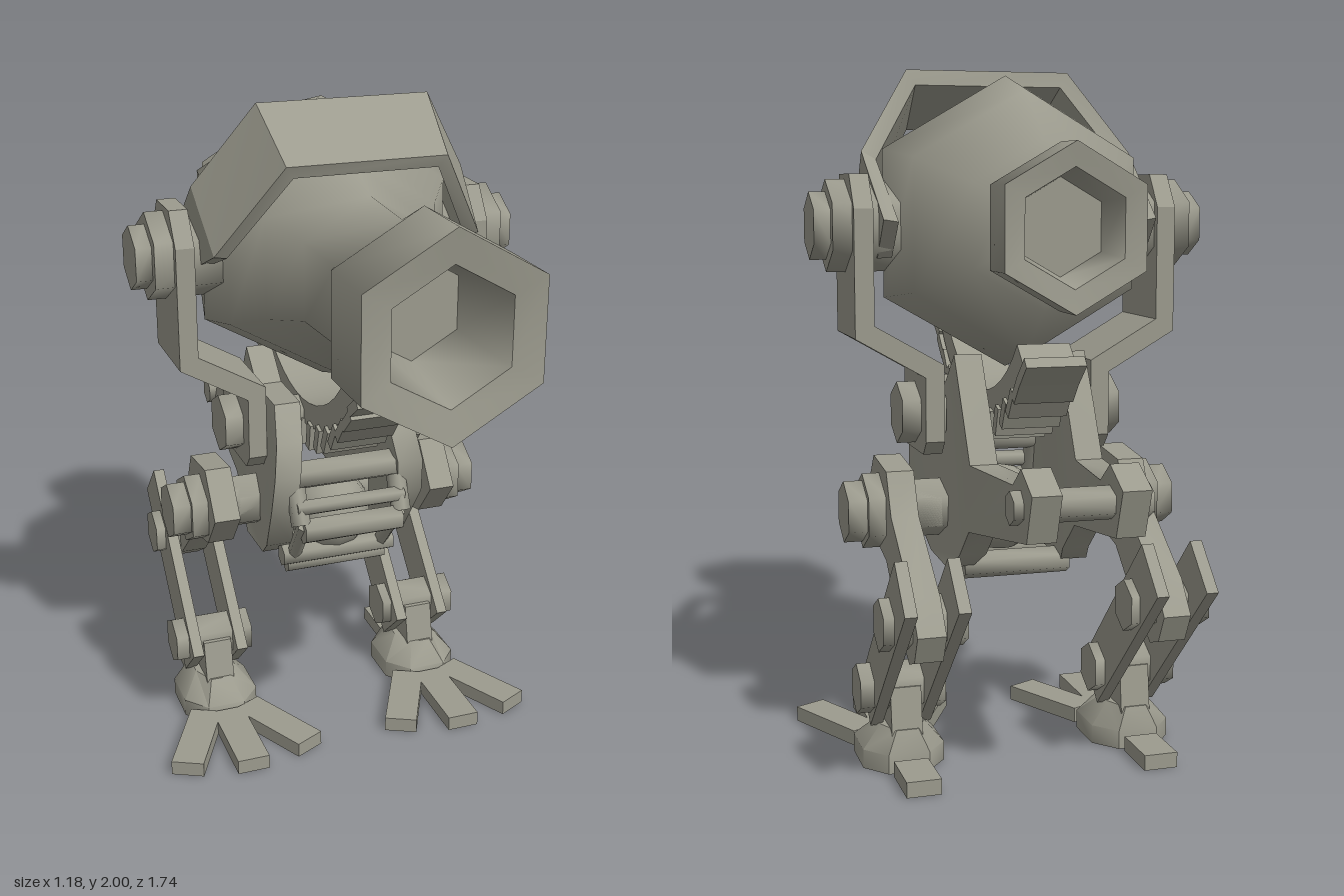
import * as THREE from 'three';
import { toCreasedNormals } from 'three/addons/utils/BufferGeometryUtils.js';

const metal = new THREE.MeshStandardMaterial({ color: 0x9c9b8e });
metal.name = 'grey metal';

// Swap the first and last corner of every triangle
function flip(geo) {
  for (const attr of Object.values(geo.attributes)) {
    const n = attr.itemSize, a = attr.array;
    for (let t = 0; t < a.length; t += 3 * n)
      for (let k = 0; k < n; k++) [a[t + k], a[t + 2 * n + k]] = [a[t + 2 * n + k], a[t + k]];
  }
  return geo;
}

// Solid skinned over a list of equal-sized rings of [x, y, z] points
function loft(rings) {
  const pos = [], n = rings[0].length;
  const tri = (a, b, c) => pos.push(...a, ...b, ...c);
  for (let i = 0; i < rings.length - 1; i++)
    for (let j = 0; j < n; j++) {
      const k = (j + 1) % n, p = rings[i], q = rings[i + 1];
      tri(p[j], p[k], q[k]);
      tri(p[j], q[k], q[j]);
    }
  const first = rings[0], last = rings[rings.length - 1];
  for (let j = 1; j < n - 1; j++) {
    tri(first[0], first[j + 1], first[j]);
    tri(last[0], last[j], last[j + 1]);
  }
  let volume = 0;
  for (let i = 0; i < pos.length; i += 9) {
    const v = [0, 3, 6].map(o => new THREE.Vector3().fromArray(pos, i + o));
    volume += v[0].dot(v[1].cross(v[2]));
  }
  const geo = new THREE.BufferGeometry();
  geo.setAttribute('position', new THREE.Float32BufferAttribute(pos, 3));
  return volume < 0 ? flip(geo) : geo;
}

// Six-sided pin along x, with a point upwards
function pin(x0, x1, y, z, r, sides = 6) {
  return new THREE.CylinderGeometry(r, r, x1 - x0, sides)
    .rotateY(Math.PI / 2).rotateZ(Math.PI / 2).translate((x0 + x1) / 2, y, z);
}

// Six-sided rod between two points
function rod(a, b, r) {
  const p = new THREE.Vector3(...a), d = new THREE.Vector3(...b).sub(p);
  const q = new THREE.Quaternion().setFromUnitVectors(new THREE.Vector3(0, 1, 0), d.clone().normalize());
  const mid = p.clone().addScaledVector(d, 0.5);
  return new THREE.CylinderGeometry(r, r, d.length(), 6).applyQuaternion(q).translate(mid.x, mid.y, mid.z);
}

// Plate with a side outline of [z, y] points, from x0 to x1
function plate(outline, x0, x1) {
  const shape = new THREE.Shape(outline.map(([z, y]) => new THREE.Vector2(-z, y)));
  return new THREE.ExtrudeGeometry(shape, { depth: x1 - x0, bevelEnabled: false })
    .rotateY(Math.PI / 2).translate(x0, 0, 0);
}

export function createModel() {
  const model = new THREE.Group();
  model.name = 'walkingRobot';
  const group = name => {
    const g = new THREE.Group();
    g.name = name;
    model.add(g);
    return g;
  };
  const add = (parent, name, geo, crease = 1.15) => {
    const mesh = new THREE.Mesh(toCreasedNormals(geo, crease), metal);
    mesh.name = name;
    parent.add(mesh);
    return mesh;
  };
  const addPair = (parent, name, geo, crease) => {
    const left = add(parent, name + 'Left', geo, crease);
    const mirrored = left.geometry.clone().scale(-1, 1, 1);
    const right = new THREE.Mesh(flip(mirrored), metal);
    right.name = name + 'Right';
    parent.add(right);
  };

  // Head: hexagonal turned body with a front barrel and a rear nozzle
  const head = group('head');
  const profile = [
    [0, -0.6], [0.13, -0.6], [0.155, -0.72], [0.22, -0.73], [0.22, -0.6], [0.14, -0.49],
    [0.23, -0.465], [0.37, -0.3], [0.42, -0.1], [0.375, 0.04], [0.29, 0.15], [0.22, 0.3],
    [0.21, 0.52], [0.28, 0.66], [0.28, 0.87], [0.185, 0.855], [0.145, 0.6], [0, 0.6],
  ].map(p => new THREE.Vector2(...p));
  add(head, 'headBody', new THREE.LatheGeometry(profile, 6).rotateX(Math.PI / 2).translate(0, 1.555, 0));

  // Brow strap: [x, y, z] of the rear and the front edge at each bend
  const half = [
    [[0.40, 1.57, -0.28], [0.40, 1.46, -0.19]],
    [[0.41, 1.76, -0.03], [0.395, 1.6, 0.14]],
    [[0.25, 2.0, 0.08], [0.23, 1.865, 0.28]],
  ];
  const other = half.map(s => s.map(([x, y, z]) => [-x, y, z])).reverse();
  const inward = ([x, y, z]) => [x * 0.9, 1.5 + (y - 1.5) * 0.91, z - 0.01];
  add(head, 'browStrap', loft([...half, ...other].map(([a, b]) => [a, b, inward(b), inward(a)])), 0.5);

  // Side brackets holding the head: [x outer, x inner, y outer, y inner, half width]
  const brackets = group('headBrackets');
  const bends = [
    [0.475, 0.42, 1.695, 1.695, 0.07], [0.475, 0.42, 1.6, 1.6, 0.135], [0.475, 0.42, 1.24, 1.275, 0.135],
    [0.275, 0.22, 1.125, 1.16, 0.135], [0.275, 0.22, 0.94, 0.94, 0.135], [0.275, 0.22, 0.9, 0.9, 0.1],
  ];
  addPair(brackets, 'bracket', loft(bends.map(([xo, xi, yo, yi, w]) => [
    [xo, yo, -0.105 + w], [xo, yo, -0.105 - w], [xi, yi, -0.105 - w], [xi, yi, -0.105 + w],
  ])), 0.4);
  addPair(brackets, 'headHub', pin(0.3, 0.53, 1.55, -0.105, 0.13));
  addPair(brackets, 'headHubBolt', pin(0.53, 0.577, 1.55, -0.105, 0.095));
  addPair(brackets, 'shoulderBolt', pin(0.2, 0.33, 1.01, -0.105, 0.09));

  // Toothed cradle rail curving under the head
  const rail = group('cradleRail');
  const arc = new THREE.Shape();
  const start = 0.64, end = Math.PI - 0.73;
  const at = (r, a) => new THREE.Vector2(0.09 - r * Math.cos(a), 1.57 - r * Math.sin(a));
  const steps = 14, points = [];
  for (let i = 0; i <= steps; i++) points.push(at(0.5, start + (end - start) * i / steps));
  for (let i = steps; i >= 0; i--) points.push(at(0.575, start + (end - start) * i / steps));
  arc.setFromPoints(points);
  add(rail, 'railArc', new THREE.ExtrudeGeometry(arc, { depth: 0.15, bevelEnabled: false })
    .rotateY(Math.PI / 2).translate(-0.075, 0, 0), 0.6);
  for (let i = 0; i <= steps; i++) {
    const a = start + (end - start) * i / steps, p = at(0.6, a);
    add(rail, 'railTooth', new THREE.BoxGeometry(0.17, 0.085, 0.032)
      .rotateX(Math.PI / 2 - a).translate(0, p.y, -p.x), 0.5);
  }

  // Torso: two bowed cheek plates running back into tail beams
  const torso = group('torso');
  const cheek = plate([
    [0.03, 1.1], [0.12, 1.01], [0.15, 0.91], [0.13, 0.8], [0.03, 0.64], [-0.05, 0.58], [-0.23, 0.57],
    [-0.3, 0.62], [-0.4, 0.71], [-0.82, 0.77], [-0.865, 0.9], [-0.77, 0.955], [-0.7, 0.9],
    [-0.41, 0.9], [-0.33, 1.05], [-0.25, 1.19], [-0.15, 1.1],
  ], 0.115, 0.195);
  const pos = cheek.attributes.position;
  for (let i = 0; i < pos.count; i++) {
    const y = pos.getY(i), z = pos.getZ(i);
    const bow = z > -0.3 ? 0.045 * Math.max(0, 1 - ((y - 0.8) / 0.3) ** 2) : 0;
    const taper = 0.035 * Math.min(1, Math.max(0, (-0.4 - z) / 0.3));
    pos.setX(i, pos.getX(i) + bow - taper);
  }
  addPair(torso, 'cheekPlate', cheek, 0.7);
  add(torso, 'shoulderAxle', pin(-0.2, 0.2, 1.01, -0.105, 0.06));
  add(torso, 'hipAxle', pin(-0.3, 0.3, 0.73, -0.13, 0.085));
  add(torso, 'tailCrossbar', pin(-0.19, 0.19, 0.855, -0.77, 0.045));
  add(torso, 'core', new THREE.SphereGeometry(0.13, 12, 8).translate(0, 0.7, -0.04));

  // Front cage: cross bars [y, z, half length, radius] and slanted side rods
  const cage = group('frontCage');
  for (const [y, z, w, r] of [[0.895, 0.1, 0.18, 0.045], [0.81, 0.15, 0.17, 0.025], [0.74, 0.165, 0.155, 0.04],
    [0.6, 0.03, 0.18, 0.035], [0.56, 0.01, 0.16, 0.03], [0.565, -0.2, 0.16, 0.04]])
    add(cage, 'cageBar', pin(-w, w, y, z, r));
  addPair(cage, 'cageUpperRod', rod([0.16, 0.89, 0.1], [0.16, 0.76, 0.165], 0.03));
  addPair(cage, 'cageLowerRod', rod([0.15, 0.76, 0.165], [0.14, 0.57, 0.01], 0.022));

  // Legs: hip, thigh, twin shin plates, joint pins
  const legs = group('legs');
  addPair(legs, 'hipCollar', pin(0.22, 0.32, 0.73, -0.13, 0.085));
  addPair(legs, 'hipHub', pin(0.385, 0.44, 0.73, -0.13, 0.11));
  addPair(legs, 'hipBolt', pin(0.44, 0.495, 0.73, -0.13, 0.09));
  addPair(legs, 'thigh', plate([
    [0.04, 0.75], [-0.06, 0.88], [-0.23, 0.86], [-0.29, 0.74], [-0.53, 0.57], [-0.6, 0.48],
    [-0.56, 0.4], [-0.5, 0.38], [-0.4, 0.44], [-0.22, 0.6], [-0.05, 0.64],
  ], 0.31, 0.39), 0.5);
  for (const [name, x0, x1] of [['shinInner', 0.26, 0.295], ['shinOuter', 0.405, 0.44]])
    addPair(legs, name, plate([[-0.55, 0.68], [-0.67, 0.56], [-0.21, 0.11], [-0.09, 0.22]], x0, x1), 0.5);
  addPair(legs, 'kneePin', pin(0.235, 0.47, 0.49, -0.48, 0.075));
  addPair(legs, 'anklePin', pin(0.23, 0.48, 0.225, -0.21, 0.075));

  // Feet: ankle, sloped base and four flat toes
  const feet = group('feet');
  addPair(feet, 'ankle', plate([[-0.13, 0.24], [-0.28, 0.24], [-0.3, 0.09], [-0.1, 0.09]], 0.305, 0.395), 0.5);
  const footRing = (y, w, front, back) => [
    [0.35 - w, front - 0.07], [0.35 - w * 0.5, front], [0.35 + w * 0.5, front], [0.35 + w, front - 0.07],
    [0.35 + w, back + 0.07], [0.35 + w * 0.5, back], [0.35 - w * 0.5, back], [0.35 - w, back + 0.07],
  ].map(([x, z]) => [x, y, z]);
  addPair(feet, 'footBase', loft([footRing(0, 0.12, -0.04, -0.32), footRing(0.055, 0.12, -0.04, -0.32),
    footRing(0.12, 0.065, -0.1, -0.3)]), 0.8);
  for (const [angle, from, to] of [[-0.464, 0.15, 0.44], [0, 0.15, 0.44], [0.464, 0.15, 0.44], [Math.PI, 0.16, 0.32]]) {
    const place = geo => geo.rotateY(angle).translate(0.35, 0, -0.18);
    const toe = new THREE.BoxGeometry(0.1, 0.045, to - from).translate(0, 0.0225, (from + to) / 2);
    addPair(feet, 'toe', place(toe), 0.5);
    addPair(feet, 'toeJoint', place(new THREE.BoxGeometry(0.05, 0.03, 0.1).translate(0, 0.018, from - 0.03)), 0.5);
  }
  return model;
}
